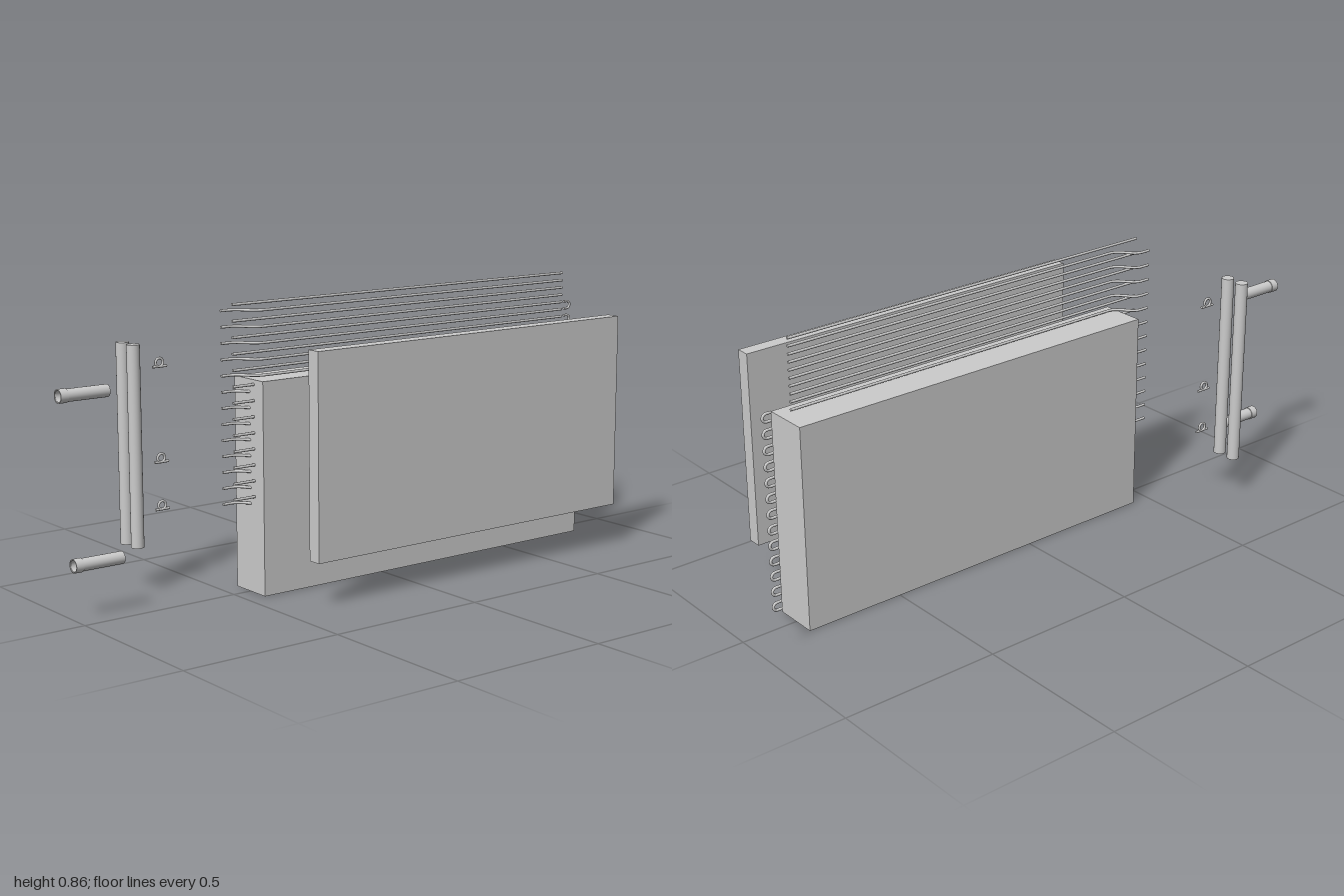
import * as THREE from 'three';

const material = new THREE.MeshStandardMaterial({ color: 0xcccccc });
const hollowMaterial = new THREE.MeshStandardMaterial({ color: 0xcccccc, side: THREE.DoubleSide });
const v = (x, y, z) => new THREE.Vector3(x, y, z);

export function createModel() {
  const model = new THREE.Group();
  model.name = 'explodedHeatExchanger';

  function add(name, geometry, x = 0, y = 0, z = 0, mat = material) {
    const mesh = new THREE.Mesh(geometry, mat);
    mesh.name = name;
    mesh.position.set(x, y, z);
    model.add(mesh);
    return mesh;
  }

  // Solid rod following a path, with closed ends
  function rod(name, path, radius, segments) {
    const mesh = add(name, new THREE.TubeGeometry(path, segments, radius, 10));
    for (const [t, sign] of [[0, -1], [1, 1]]) {
      const cap = new THREE.Mesh(new THREE.CircleGeometry(radius, 10), material);
      cap.name = name + 'End';
      cap.position.copy(path.getPointAt(t));
      cap.quaternion.setFromUnitVectors(v(0, 0, 1), path.getTangentAt(t).multiplyScalar(sign));
      mesh.add(cap);
    }
  }

  // Casing and fin pack
  add('casing', new THREE.BoxGeometry(1.26, 0.637, 0.142), 0.19, 0.3185, 0.002);
  add('finPack', new THREE.BoxGeometry(1.185, 0.61, 0.044), 0.1925, 0.441, 0.262);

  // Copper tubes: straight ones alternate with ones offset at the entry end
  const pitch = 0.0237, tubeRadius = 0.0042, tubeZ = 0.027, offsetZ = -0.031;
  for (let i = 0; i < 26; i++) {
    const y = 0.86 - i * pitch;
    if (i % 2 === 0) {
      rod('straightTube', new THREE.LineCurve3(v(-0.512, y, tubeZ), v(0.785, y, tubeZ)), tubeRadius, 1);
    } else {
      const path = new THREE.CurvePath();
      path.add(new THREE.LineCurve3(v(-0.512, y, offsetZ), v(-0.485, y, offsetZ)));
      path.add(new THREE.CubicBezierCurve3(
        v(-0.485, y, offsetZ), v(-0.445, y, offsetZ), v(-0.445, y, tubeZ), v(-0.4, y, tubeZ)));
      path.add(new THREE.LineCurve3(v(-0.4, y, tubeZ), v(0.785, y, tubeZ)));
      rod('offsetTube', path, tubeRadius, 130);
    }
  }

  // Rear return bends: U shapes opening toward the tubes
  for (let i = 0; i < 13; i++) {
    const y = 0.727 - i * 2 * pitch, r = pitch / 2, z = -0.127;
    const points = [v(0.945, y - r, z)];
    for (let k = 0; k <= 8; k++) {
      const a = -Math.PI / 2 + (k / 8) * Math.PI;
      points.push(v(0.96 + r * Math.cos(a), y + r * Math.sin(a), z));
    }
    points.push(v(0.945, y + r, z));
    rod('returnBend', new THREE.CatmullRomCurve3(points), tubeRadius, 24);
  }

  // Collector pipes
  for (const [name, z] of [['straightEntryCollector', -0.181], ['offsetCollector', -0.24]]) {
    add(name, new THREE.CylinderGeometry(0.0195, 0.0195, 0.6, 32), -0.714, 0.441, z);
  }

  // Small collars with a short base rod
  for (const y of [0.68, 0.397, 0.255]) {
    add('weldCollar', new THREE.TorusGeometry(0.0125, 0.004, 8, 24), -0.627, y, -0.181);
    rod('collarStub', new THREE.LineCurve3(v(-0.65, y - 0.012, -0.181), v(-0.602, y - 0.012, -0.181)), 0.004, 1);
  }

  // Hollow connecting pipes, each with a threaded ring on its outer end
  function sleeve(name, inner, outer, x0, x1, y, z) {
    const profile = [[inner, x0], [outer, x0], [outer, x1], [inner, x1], [inner, x0]];
    // Separate faces keep the rims sharp
    for (let i = 0; i < 4; i++) {
      const pair = [profile[i], profile[i + 1]].map(([r, h]) => new THREE.Vector2(r, h));
      const mesh = add(name, new THREE.LatheGeometry(pair, 32), 0, y, z, hollowMaterial);
      mesh.rotation.z = -Math.PI / 2;
    }
  }
  for (const [y, z] of [[0.63, -0.114], [0.158, -0.056]]) {
    sleeve('hollowPipe', 0.0165, 0.0185, -0.998, -0.842, y, z);
    sleeve('threadRing', 0.0175, 0.0205, -1, -0.975, y, z);
  }

  return model;
}
